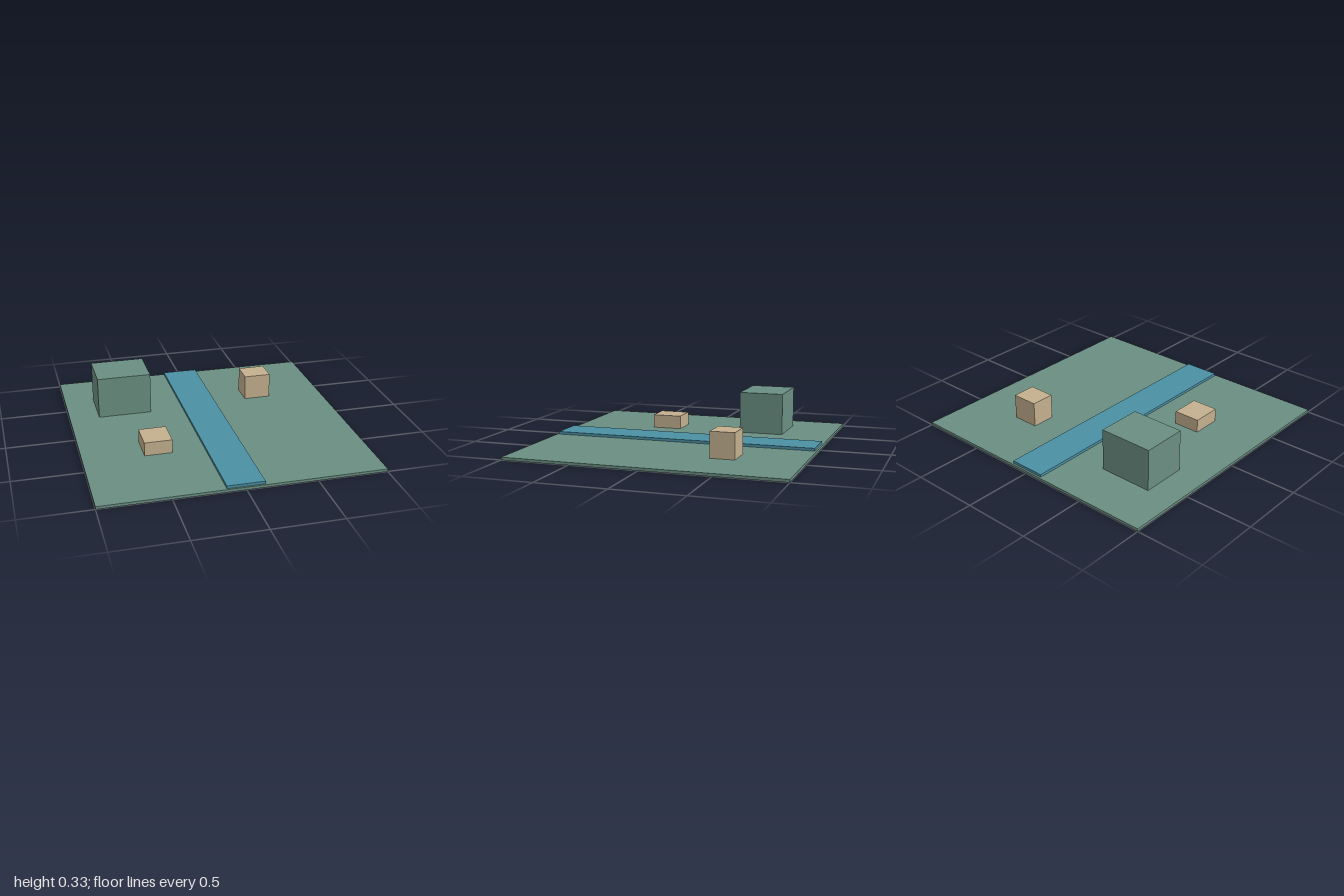
import * as THREE from 'three';

export function createModel() {
  const model = new THREE.Group();
  model.name = 'riverLandscape';

  const material = (name, color) => {
    const m = new THREE.MeshStandardMaterial({ color });
    m.name = name;
    return m;
  };
  const green = material('sageGreen', 0x6b8f82);
  const blue = material('riverBlue', 0x4a90a4);
  const tan = material('sandTan', 0xc4b08f);

  // Box given by its lower and upper limits on each axis
  const addBlock = (name, mat, [x0, x1], [y0, y1], [z0, z1]) => {
    const mesh = new THREE.Mesh(new THREE.BoxGeometry(x1 - x0, y1 - y0, z1 - z0), mat);
    mesh.name = name;
    mesh.position.set((x0 + x1) / 2, (y0 + y1) / 2, (z0 + z1) / 2);
    model.add(mesh);
  };

  const groundTop = 0.02;

  // Ground slab and the raised strip of water across it
  addBlock('ground', green, [-1, 1], [0, groundTop], [-1, 1]);
  addBlock('river', blue, [-0.133, 0.133], [groundTop, 0.04], [-0.987, 0.987]);

  // Blocks standing on the ground
  addBlock('hill', green, [-0.78, -0.38], [groundTop, 0.33], [-0.635, -0.302]);
  addBlock('lowBuilding', tan, [-0.567, -0.367], [groundTop, 0.12], [0.178, 0.4]);
  addBlock('tallBuilding', tan, [0.385, 0.585], [groundTop, 0.207], [-0.534, -0.356]);

  return model;
}
